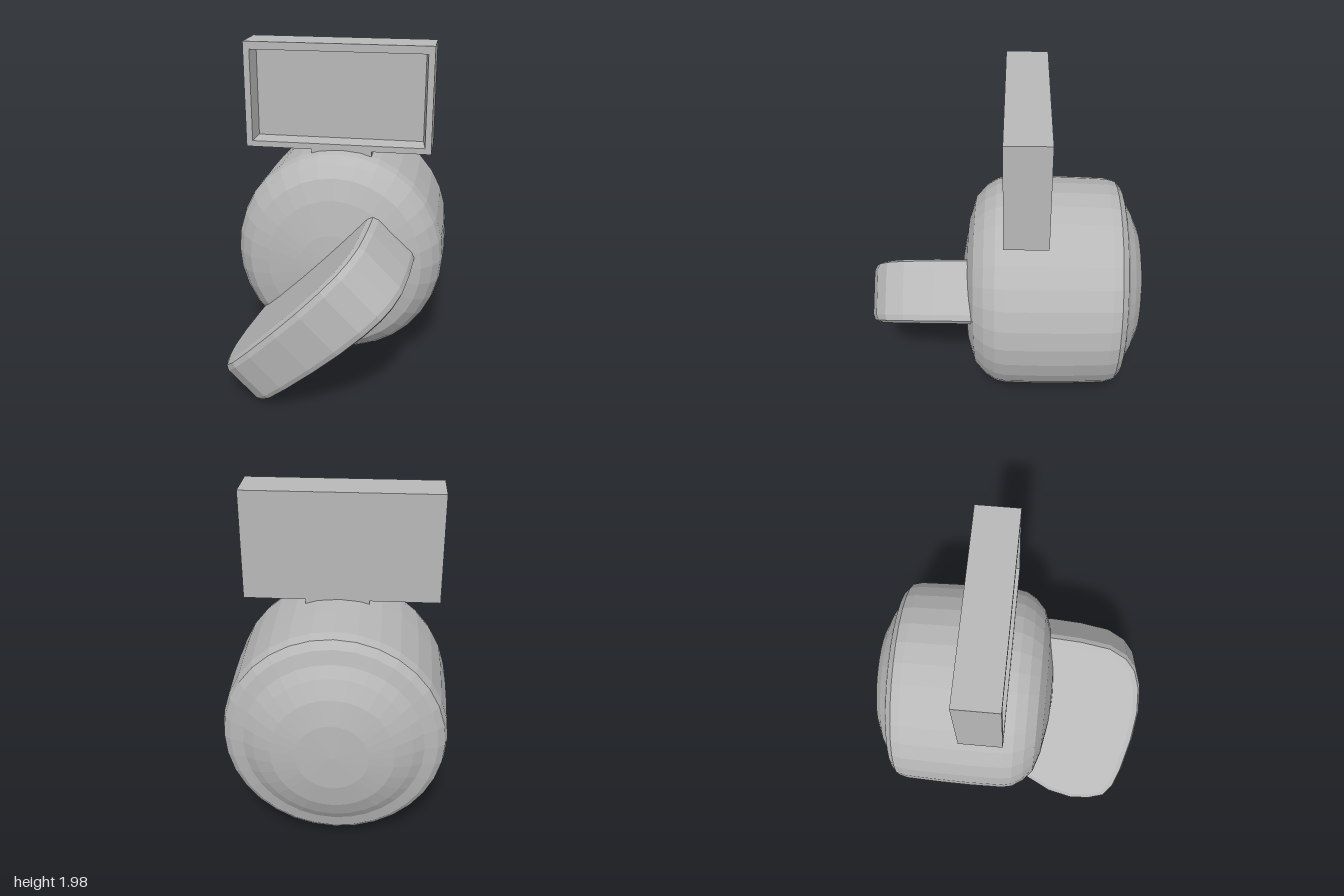
import * as THREE from 'three';

export function createModel() {
  const model = new THREE.Group();
  const grey = new THREE.MeshStandardMaterial({ color: 0xb8b8b8 });
  grey.name = 'plain grey';
  grey.flatShading = true;

  function add(name, geometry, parent = model) {
    const mesh = new THREE.Mesh(geometry, grey);
    mesh.name = name;
    parent.add(mesh);
    return mesh;
  }

  // Round body turned about the z axis, with a raised dome at the back
  const profile = [
    [0, -0.83], [0.2, -0.823], [0.34, -0.795], [0.44, -0.75], [0.5, -0.71],
    [0.575, -0.69], [0.615, -0.655], [0.63, -0.6], [0.637, -0.4], [0.64, -0.2],
    [0.637, 0], [0.625, 0.06], [0.585, 0.125], [0.52, 0.185], [0.4, 0.225],
    [0.2, 0.26], [0, 0.275],
  ].map(([r, z]) => new THREE.Vector2(r, z));
  const bodyShape = new THREE.LatheGeometry(profile, 32);
  bodyShape.rotateX(Math.PI / 2);
  bodyShape.scale(0.995, 1.025, 1);
  add('body', bodyShape).position.y = 0.725;

  // Slanted paddle handle: outline in length and depth, tapered to its low end
  const outline = [
    [-0.4, 0.08], [-0.46, 0.15], [-0.55, 0.3], [-0.592, 0.45], [-0.585, 0.58],
    [-0.55, 0.68], [-0.47, 0.735], [-0.33, 0.775], [-0.1, 0.815], [0.1, 0.83],
    [0.28, 0.815], [0.4, 0.775], [0.48, 0.71], [0.54, 0.6], [0.57, 0.42],
    [0.582, 0.25], [0.582, 0.1],
  ].map(([u, z]) => new THREE.Vector2(u, z));
  const handle = new THREE.ExtrudeGeometry(new THREE.Shape(outline), {
    depth: 0.28, bevelEnabled: true, bevelThickness: 0.05, bevelSize: 0.045,
    bevelOffset: -0.045, bevelSegments: 2, steps: 1,
  });
  handle.translate(0, 0, -0.14);
  const pos = handle.attributes.position;
  for (let i = 0; i < pos.count; i++) {
    pos.setZ(i, pos.getZ(i) * (0.91 + 0.15 * pos.getX(i)));
  }
  const angle = THREE.MathUtils.degToRad(44);
  const c = Math.cos(angle), s = Math.sin(angle);
  handle.applyMatrix4(new THREE.Matrix4().makeBasis(
    new THREE.Vector3(c, s, 0), new THREE.Vector3(0, 0, 1), new THREE.Vector3(s, -c, 0)));
  handle.computeVertexNormals();
  add('handle', handle).position.set(-0.055, 0.53, 0);

  // Rectangular sign with a recessed front panel
  const sign = new THREE.Group();
  sign.name = 'sign';
  sign.position.set(-0.0125, 1.6875, 0);
  model.add(sign);

  function rectangle(Type, w, h, y = 0) {
    return new Type([[-w, y - h], [w, y - h], [w, y + h], [-w, y + h]]
      .map(([px, py]) => new THREE.Vector2(px, py)));
  }
  const rim = rectangle(THREE.Shape, 0.5525, 0.3125);
  rim.holes.push(rectangle(THREE.Path, 0.515, 0.272, -0.005));
  const frame = new THREE.ExtrudeGeometry(rim, { depth: 0.1, bevelEnabled: false });
  // Narrow the recess slightly toward its floor
  const fp = frame.attributes.position;
  for (let i = 0; i < fp.count; i++) {
    if (fp.getZ(i) < 0.05 && Math.abs(fp.getX(i)) < 0.53) {
      fp.setX(i, fp.getX(i) * 0.97);
      fp.setY(i, fp.getY(i) * 0.95);
    }
  }
  frame.computeVertexNormals();
  add('signFrame', frame, sign).position.z = -0.09;
  add('signBack', new THREE.BoxGeometry(1.105, 0.625, 0.145), sign).position.z = -0.1625;

  // Short neck joining the sign to the body
  add('neck', new THREE.BoxGeometry(0.36, 0.1, 0.24)).position.set(0.01, 1.34, -0.113);

  return model;
}
